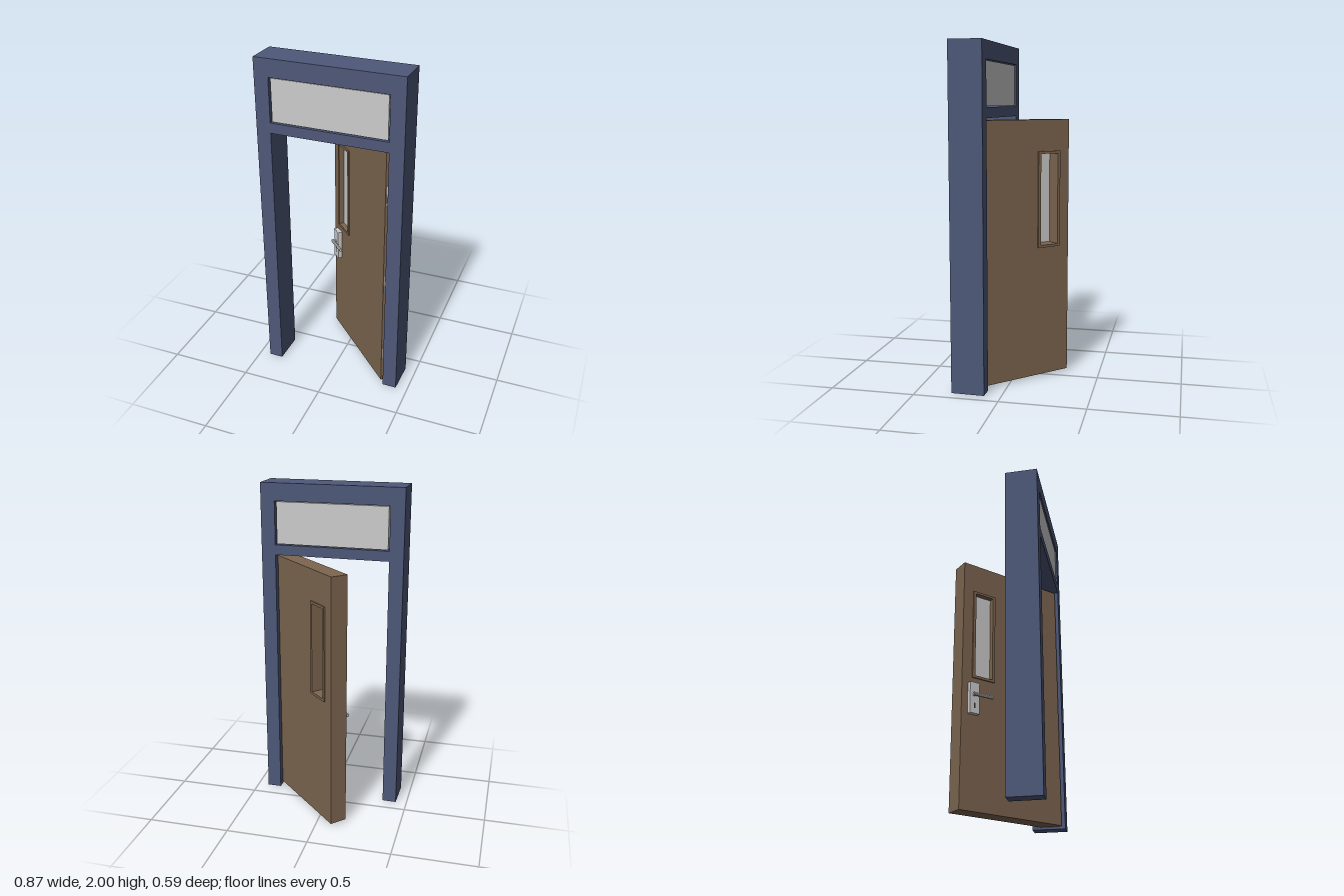
import * as THREE from 'three';

const mat = (color) => new THREE.MeshStandardMaterial({ color, flatShading: true });
const navy = mat(0x4e5878);
const brown = mat(0x7d6650);
const grey = mat(0xcccccc);
const dark = mat(0x333333);

function add(parent, name, geometry, material, x = 0, y = 0, z = 0) {
  const mesh = new THREE.Mesh(geometry, material);
  mesh.name = name;
  mesh.position.set(x, y, z);
  parent.add(mesh);
  return mesh;
}

const box = (w, h, d) => new THREE.BoxGeometry(w, h, d);

// Corner points of a rectangle
const rect = (x0, y0, x1, y1) =>
  [[x0, y0], [x1, y0], [x1, y1], [x0, y1]].map(([x, y]) => new THREE.Vector2(x, y));

// Flat outline with an optional hole, extruded and centred in z
function slab(points, hole, depth) {
  const shape = new THREE.Shape(points);
  if (hole) shape.holes.push(new THREE.Path(hole));
  return new THREE.ExtrudeGeometry(shape, { depth, bevelEnabled: false }).translate(0, 0, -depth / 2);
}

function buildFrame() {
  const frame = new THREE.Group();
  frame.name = 'doorFrame';
  const W = 0.4325, I = 0.347;
  // Two legs, lintel and transom opening in one outline
  const outline = [[-W, 0], [-I, 0], [-I, 1.573], [I, 1.573], [I, 0], [W, 0], [W, 2], [-W, 2]]
    .map(([x, y]) => new THREE.Vector2(x, y));
  add(frame, 'frameSurround', slab(outline, rect(-I, 1.634, I, 1.895), 0.195), navy);
  add(frame, 'transomPane', box(0.676, 0.251, 0.178), grey, 0, 1.7645, 0);
  frame.position.set(-0.001, 0, 0.1865);
  frame.rotation.y = -0.0208;
  return frame;
}

function buildHandle() {
  const handle = new THREE.Group();
  handle.name = 'handle';
  add(handle, 'handlePlate', box(0.064, 0.19, 0.027), grey, -0.277, 0.666, 0.0665);
  add(handle, 'keyhole', box(0.01, 0.032, 0.003), dark, -0.277, 0.618, 0.08);
  const stem = add(handle, 'handleStem', new THREE.CylinderGeometry(0.009, 0.009, 0.024, 8), grey, -0.283, 0.682, 0.088);
  stem.rotation.x = Math.PI / 2;
  const lever = add(handle, 'handleLever', new THREE.CylinderGeometry(0.011, 0.011, 0.131, 8), grey, -0.2295, 0.682, 0.098);
  lever.rotation.z = Math.PI / 2;
  lever.scale.z = 0.8;
  return handle;
}

function buildDoor() {
  const door = new THREE.Group();
  door.name = 'door';
  const T = 0.106, cx = -0.205;
  const opening = rect(cx - 0.06, 0.815, cx + 0.06, 1.36);
  add(door, 'doorLeaf', slab(rect(-0.35, 0.015, 0.35, 1.56), opening, T), brown);

  // Window rim standing proud of both faces, with a pane near the front
  add(door, 'windowRim', slab(rect(cx - 0.078, 0.8, cx + 0.078, 1.375), opening, T + 0.016), brown);
  add(door, 'windowPane', box(0.119, 0.544, 0.008), grey, cx, 1.0875, 0.027);

  door.add(buildHandle());

  // Hinge leaves on the hanging edge
  for (const y of [0.228, 0.723, 1.305]) {
    add(door, 'hinge', box(0.006, 0.118, 0.03), grey, 0.35, y, 0.031);
  }

  // Standing open at 45 degrees
  door.position.set(0.115, 0, -0.013);
  door.rotation.y = -Math.PI / 4;
  return door;
}

export function createModel() {
  const model = new THREE.Group();
  model.name = 'openDoorway';
  model.add(buildFrame(), buildDoor());
  return model;
}
